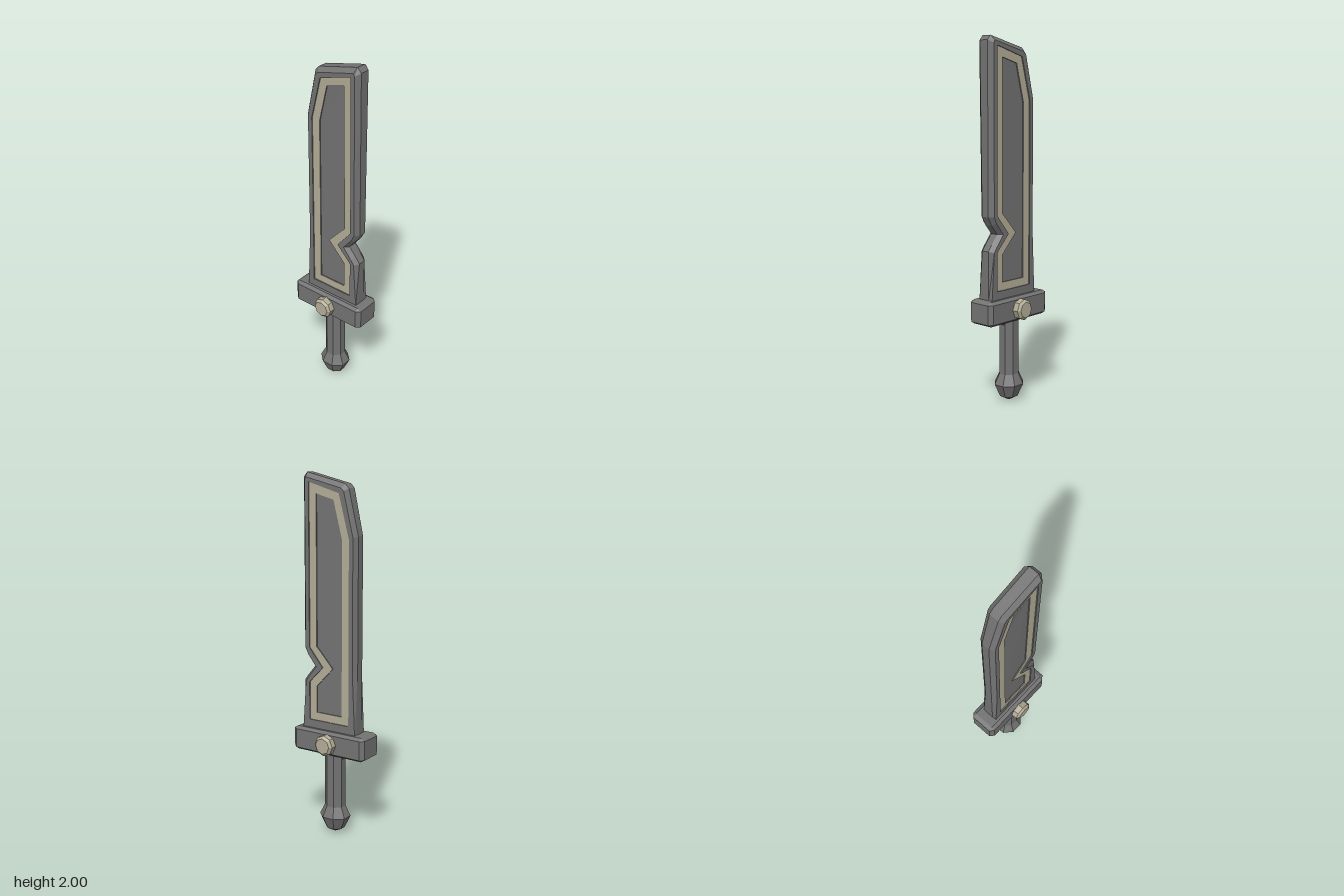
import * as THREE from 'three';
import { ConvexGeometry } from 'three/addons/geometries/ConvexGeometry.js';

const steel = new THREE.MeshStandardMaterial({ color: 0x737373 });
steel.name = 'darkSteel';
const brass = new THREE.MeshStandardMaterial({ color: 0xb3ad97 });
brass.name = 'paleBrass';

// Faceted normals baked into the geometry
function flat(geo) {
  const g = geo.index ? geo.toNonIndexed() : geo;
  g.computeVertexNormals();
  return g;
}

function add(parent, name, geo, material) {
  const mesh = new THREE.Mesh(flat(geo), material);
  mesh.name = name;
  parent.add(mesh);
  return mesh;
}

// Blade contours as [z, y], from the front of the base, up past the notch, over the tip and down the spine
const EDGE = [[.186, .6], [.186, .87], [.16, .905], [.117, .955], [.16, 1.007], [.186, 1.055], [.186, 1.975],
  [.165, 2], [-.078, 1.943], [-.1, 1.92], [-.16, 1.675], [-.16, .95], [-.16, .6]];
const BEVEL = [[.184, .6], [.165, .865], [.148, .89], [.095, .955], [.148, 1.02], [.165, 1.055], [.165, 1.96],
  [.158, 1.975], [-.068, 1.921], [-.084, 1.905], [-.142, 1.67], [-.142, .95], [-.158, .6]];
const BAND_OUT = [[.14, .65], [.14, .865], [.12, .886], [.053, .955], [.12, 1.036], [.14, 1.06], [.14, 1.95],
  [.14, 1.95], [-.053, 1.895], [-.053, 1.895], [-.117, 1.66], [-.117, .95], [-.117, .65]];
const BAND_IN = [[.095, .695], [.095, .845], [.07, .872], [-.01, .955], [.07, 1.042], [.095, 1.067], [.095, 1.89],
  [.095, 1.89], [-.016, 1.86], [-.016, 1.86], [-.07, 1.655], [-.07, .95], [-.07, .695]];

// Skin between contours, each given as [x, contour], ordered from -x to +x
function loft(rings) {
  const pos = [];
  const same = (p, q) => p[0] === q[0] && p[1] === q[1] && p[2] === q[2];
  for (let k = 0; k < rings.length - 1; k++) {
    const [xa, A] = rings[k], [xb, B] = rings[k + 1];
    for (let i = 0; i < A.length; i++) {
      const j = (i + 1) % A.length;
      const at = (x, [z, y]) => [x, y, z];
      const a = at(xa, A[i]), b = at(xb, B[i]), c = at(xb, B[j]), d = at(xa, A[j]);
      if (!same(b, c)) pos.push(...a, ...b, ...c);
      if (!same(a, d)) pos.push(...a, ...c, ...d);
    }
  }
  const g = new THREE.BufferGeometry();
  g.setAttribute('position', new THREE.Float32BufferAttribute(pos, 3));
  return g;
}

// Flat panel filling a contour, facing along x
function fill(contour, x) {
  const s = Math.sign(x);
  const pts = contour
    .filter((p, i) => i === 0 || p[0] !== contour[i - 1][0] || p[1] !== contour[i - 1][1])
    .map(([z, y]) => new THREE.Vector2(-s * z, y));
  return new THREE.ShapeGeometry(new THREE.Shape(pts)).rotateY(s * Math.PI / 2).translate(x, 0, 0);
}

// The -x side swells slightly towards the tip
function swell(geo) {
  const p = geo.attributes.position;
  for (let i = 0; i < p.count; i++) {
    if (p.getX(i) < 0) p.setX(i, p.getX(i) - 0.011 * Math.max(0, (p.getY(i) - 1.67) / 0.3));
  }
  return geo;
}

function createBlade() {
  const blade = new THREE.Group();
  blade.name = 'blade';
  const e = .022, f = .047, b = .041, p = .035;
  // Rim with bevelled edge and a shallow step down to the inlay
  add(blade, 'bladeRim', swell(loft([[-b, BAND_OUT], [-f, BAND_OUT], [-f, BEVEL], [-e, EDGE],
    [e, EDGE], [f, BEVEL], [f, BAND_OUT], [b, BAND_OUT]])), steel);
  add(blade, 'leftInlayBand', swell(loft([[b, BAND_OUT], [b, BAND_IN]])), brass);
  add(blade, 'rightInlayBand', swell(loft([[-b, BAND_IN], [-b, BAND_OUT]])), brass);
  add(blade, 'leftPanelStep', swell(loft([[b, BAND_IN], [p, BAND_IN]])), steel);
  add(blade, 'rightPanelStep', swell(loft([[-p, BAND_IN], [-b, BAND_IN]])), steel);
  add(blade, 'leftPanel', swell(fill(BAND_IN, p)), steel);
  add(blade, 'rightPanel', swell(fill(BAND_IN, -p)), steel);
  return blade;
}

// Box with every edge and corner chamfered
function chamferBox(w, h, d, cx, cy, cz) {
  const pts = [];
  for (const sx of [-1, 1]) for (const sy of [-1, 1]) for (const sz of [-1, 1]) {
    const x = w / 2, y = h / 2, z = d / 2;
    pts.push(new THREE.Vector3(sx * x, sy * (y - cy), sz * (z - cz)),
      new THREE.Vector3(sx * (x - cx), sy * y, sz * (z - cz)),
      new THREE.Vector3(sx * (x - cx), sy * (y - cy), sz * z));
  }
  return new ConvexGeometry(pts);
}

// Eight-sided turned part
function turned(profile) {
  return new THREE.LatheGeometry(profile.map(([r, y]) => new THREE.Vector2(r, y)), 8, Math.PI / 8);
}

export function createModel() {
  const model = new THREE.Group();
  model.name = 'sword';
  model.add(createBlade());

  // Crossguard
  add(model, 'crossguard', chamferBox(.164, .135, .466, .02, .014, .024), steel)
    .position.y = .5375;

  // Bolts on both sides of the guard
  for (const side of [-1, 1]) {
    const geo = new THREE.LatheGeometry([[.058, .05], [.058, .115], [.044, .128], [0, .128]]
      .map(([r, y]) => new THREE.Vector2(r, y)), 8);
    geo.rotateZ(-side * Math.PI / 2);
    add(model, side > 0 ? 'leftBolt' : 'rightBolt', geo, brass).position.y = .537;
  }

  // Grip, collar and pommel
  add(model, 'grip', turned([[.06, .15], [.06, .48]]).scale(.9, 1, 1), steel);
  add(model, 'collar', turned([[.058, .44], [.086, .47]]).scale(.62, 1, 1), steel);
  add(model, 'pommel', turned([[0, 0], [.055, .028], [.09, .1], [.06, .16]]).scale(.9, 1, 1), steel);

  return model;
}
